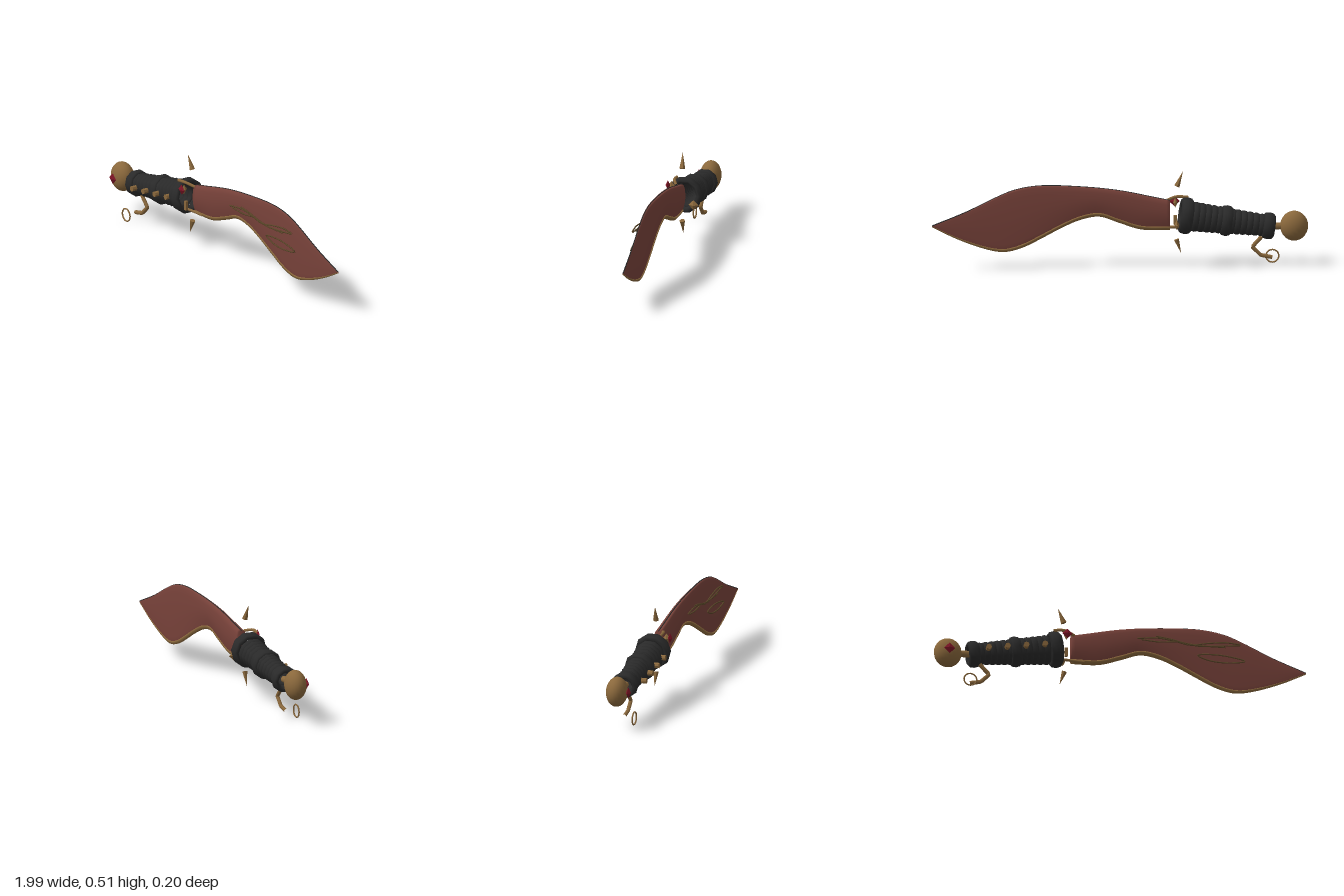
import * as THREE from 'three';

const mat = (color, extra = {}) => new THREE.MeshStandardMaterial({ color, ...extra });
const BRASS = mat(0x8a683c), STEEL = mat(0x78423a, { side: THREE.DoubleSide });
const LEATHER = mat(0x2a2a2a, { side: THREE.DoubleSide }), GEM = mat(0x7a1424, { flatShading: true });
const BRASS_FLAT = mat(0x8a683c, { flatShading: true }), LINE = mat(0x5a4628);

const curve = (pts, z = 0) => new THREE.CatmullRomCurve3(pts.map(p => new THREE.Vector3(p[0], p[1], p[2] ?? z)));

// height of an outline at x, by smooth interpolation between its points
function heightAt(pts, x) {
  let i = 0;
  while (i < pts.length - 2 && x > pts[i + 1][0]) i++;
  const slope = k => {
    const a = pts[Math.max(k - 1, 0)], b = pts[Math.min(k + 1, pts.length - 1)];
    return (b[1] - a[1]) / (b[0] - a[0]);
  };
  const [x0, y0] = pts[i], [x1, y1] = pts[i + 1], h = x1 - x0, t = (x - x0) / h;
  return y0 + (y1 - y0) * t * t * (3 - 2 * t) + h * t * (1 - t) * ((1 - t) * slope(i) - t * slope(i + 1));
}

// closed skin over cross-sections; section(u) returns a loop of [x, y, z]
function loft(section, steps) {
  const pos = [], index = [];
  let n = 0;
  for (let i = 0; i <= steps; i++) {
    const loop = section(i / steps);
    n = loop.length;
    loop.forEach(p => pos.push(...p));
  }
  for (let i = 0; i < steps; i++) for (let j = 0; j < n; j++) {
    const a = i * n + j, b = i * n + (j + 1) % n;
    index.push(a, b, a + n, b, b + n, a + n);
  }
  for (let j = 1; j < n - 1; j++) {
    index.push(0, j + 1, j);
    index.push(steps * n, steps * n + j, steps * n + j + 1);
  }
  const g = new THREE.BufferGeometry();
  g.setAttribute('position', new THREE.Float32BufferAttribute(pos, 3));
  g.setIndex(index);
  g.computeVertexNormals();
  return g;
}

export function createModel() {
  const model = new THREE.Group();
  const add = (name, geo, material, x = 0, y = 0, z = 0, parent = model) => {
    const m = new THREE.Mesh(geo, material);
    m.name = name;
    m.position.set(x, y, z);
    parent.add(m);
    return m;
  };

  // blade: swelling, forward-curved outline with a tapering lens section
  const spine = [[-0.27, 0.355], [-0.2, 0.37], [0, 0.412], [0.2, 0.435], [0.42, 0.443], [0.55, 0.422],
    [0.65, 0.382], [0.8, 0.31], [0.985, 0.236]];
  const belly = [[-0.27, 0.2], [-0.12, 0.205], [0, 0.243], [0.1, 0.277], [0.2, 0.262], [0.3, 0.22],
    [0.4, 0.168], [0.5, 0.119], [0.6, 0.094], [0.7, 0.11], [0.85, 0.165], [0.985, 0.232]];
  const X0 = -0.27, X1 = 0.985;
  const bladeProfile = [[0, 0.25], [0.12, 0.5], [0.35, 0.85], [0.6, 1], [0.85, 0.85], [0.97, 0.65], [1, 0.35]];
  const halfWidth = u => 0.025 * (1 - u) + 0.002;
  add('blade', loft(u => {
    const x = X0 + (X1 - X0) * u, lo = heightAt(belly, x), hi = heightAt(spine, x), w = halfWidth(u);
    const side = s => bladeProfile.map(([v, k]) => [x, lo + (hi - lo) * v, s * w * k]);
    return [...side(1), ...side(-1).reverse()];
  }, 64), STEEL);

  // brass strip along the cutting edge, thinning past the widest point
  add('cuttingEdge', loft(u => {
    const x = X0 + (X1 - X0) * u, lo = heightAt(belly, x);
    const h = 0.018 * Math.min(1, (1 - u) * 2 + 0.15), w = 0.014 * (1 - u) + 0.003;
    return [[x, lo - 0.003, 0.3 * w], [x, lo + h * 0.5, w], [x, lo + h, 0.8 * w],
      [x, lo + h, -0.8 * w], [x, lo + h * 0.5, -w], [x, lo - 0.003, -0.3 * w]];
  }, 64), mat(0x8a683c, { side: THREE.DoubleSide }));
  add('spineLine', new THREE.TubeGeometry(curve(spine), 60, 0.003, 5), LEATHER);

  // raised wire ornament in front of the blade
  const ornament = [
    [[0.08, 0.352], [0.18, 0.362], [0.27, 0.353], [0.36, 0.334], [0.45, 0.35], [0.55, 0.362], [0.63, 0.356]],
    [[0.1, 0.347], [0.2, 0.34], [0.3, 0.348], [0.4, 0.332], [0.5, 0.338], [0.63, 0.352]],
    [[0.18, 0.372], [0.26, 0.36], [0.34, 0.342], [0.42, 0.335], [0.55, 0.334]]];
  ornament.forEach(p => add('ornamentWire', new THREE.TubeGeometry(curve(p, 0.04), 40, 0.004, 5), LINE));
  const leaf = [[0.4, 0.278], [0.48, 0.288], [0.57, 0.282], [0.655, 0.262], [0.57, 0.246], [0.46, 0.253]];
  const leafCurve = curve(leaf, 0.04);
  leafCurve.closed = true;
  add('ornamentLeaf', new THREE.TubeGeometry(leafCurve, 48, 0.004, 5, true), LINE);

  // grip: hollow, tapering stack of wrapped rings
  const grip = new THREE.Group();
  grip.name = 'grip';
  grip.position.set(-0.355, 0.272, 0);
  grip.rotation.z = 0.138;
  model.add(grip);
  const ring = (name, x, outer, tube, stretch) => {
    const g = new THREE.TorusGeometry(outer - tube, tube, 8, 10);
    g.scale(1, 1, stretch).rotateY(Math.PI / 2);
    add(name, g, LEATHER, x, 0, 0, grip);
  };
  for (let i = 0; i < 12; i++) ring('gripWrap', -0.05 - i * 0.032, 0.08 - i * 0.0018, 0.013, 1.6);
  ring('frontCollar', 0, 0.098, 0.017, 2);
  ring('middleCollar', -0.215, 0.082, 0.016, 1.9);
  ring('rearCollar', -0.44, 0.072, 0.016, 2);
  const lining = new THREE.CylinderGeometry(0.066, 0.05, 0.42, 10, 1, true).rotateZ(-Math.PI / 2);
  add('gripLining', lining, LEATHER, -0.23, 0, 0, grip);

  // brass studs on the front of the grip
  for (let i = 0; i < 4; i++) {
    const stud = new THREE.CylinderGeometry(0.015, 0.015, 0.028, 8).rotateX(Math.PI / 2);
    add('stud', stud, BRASS_FLAT, -0.72 + i * 0.1, 0.22 + i * 0.014, 0.08);
  }

  // pommel with its neck and gem
  add('pommel', new THREE.SphereGeometry(1, 20, 14), BRASS, -0.926, 0.21, 0).scale.set(0.074, 0.08, 0.056);
  add('pommelNeck', new THREE.CylinderGeometry(0.018, 0.018, 0.09, 10).rotateZ(Math.PI / 2), BRASS, -0.83, 0.21, 0);
  add('pommelGem', new THREE.OctahedronGeometry(1), GEM, -0.926, 0.21, 0.064).scale.set(0.03, 0.03, 0.014);

  // guard: gem, bosses, bars and prongs gripping the blade root
  add('guardGem', new THREE.OctahedronGeometry(1), GEM, -0.3, 0.335, 0.076).scale.set(0.028, 0.028, 0.013);
  add('guardBoss', new THREE.OctahedronGeometry(0.025), BRASS_FLAT, -0.303, 0.332, 0.058).scale.set(0.5, 1.1, 0.8);
  add('guardBoss', new THREE.OctahedronGeometry(0.028), BRASS_FLAT, -0.303, 0.235, -0.062).scale.x = 0.5;
  add('guardBar', new THREE.BoxGeometry(0.016, 0.05, 0.014), BRASS, -0.302, 0.24, 0.045);
  const prong = (name, pts) => add(name, new THREE.TubeGeometry(curve(pts), 12, 0.008, 6), BRASS);
  prong('upperProng', [[-0.37, 0.362, 0.045], [-0.31, 0.366, 0.043], [-0.255, 0.352, 0.02]]);
  prong('lowerProng', [[-0.32, 0.208, 0.02], [-0.27, 0.208, 0.015], [-0.2, 0.206, 0.01]]);

  // free-standing spikes above and below the guard
  const spike = (name, base, tip, r) => {
    const a = new THREE.Vector3(...base), b = new THREE.Vector3(...tip), d = b.clone().sub(a);
    const m = add(name, new THREE.ConeGeometry(r, d.length(), 6), BRASS_FLAT);
    m.position.copy(a).add(b).multiplyScalar(0.5);
    m.quaternion.setFromUnitVectors(new THREE.Vector3(0, 1, 0), d.normalize());
  };
  spike('upperSpike', [-0.307, 0.43, 0], [-0.34, 0.51, 0.006], 0.016);
  spike('lowerSpike', [-0.305, 0.145, 0], [-0.33, 0.07, 0], 0.015);

  // bent hook under the grip, with a loose ring at its end
  const hook = new THREE.CurvePath();
  const bend = [[-0.755, 0.155], [-0.705, 0.1], [-0.75, 0.055], [-0.81, 0.043]].map(p => new THREE.Vector3(...p, 0));
  for (let i = 0; i < 3; i++) hook.add(new THREE.LineCurve3(bend[i], bend[i + 1]));
  add('hook', new THREE.TubeGeometry(hook, 24, 0.011, 6), BRASS);
  add('hookRing', new THREE.TorusGeometry(0.034, 0.004, 6, 20), BRASS, -0.815, 0.038, 0.058);

  return model;
}
